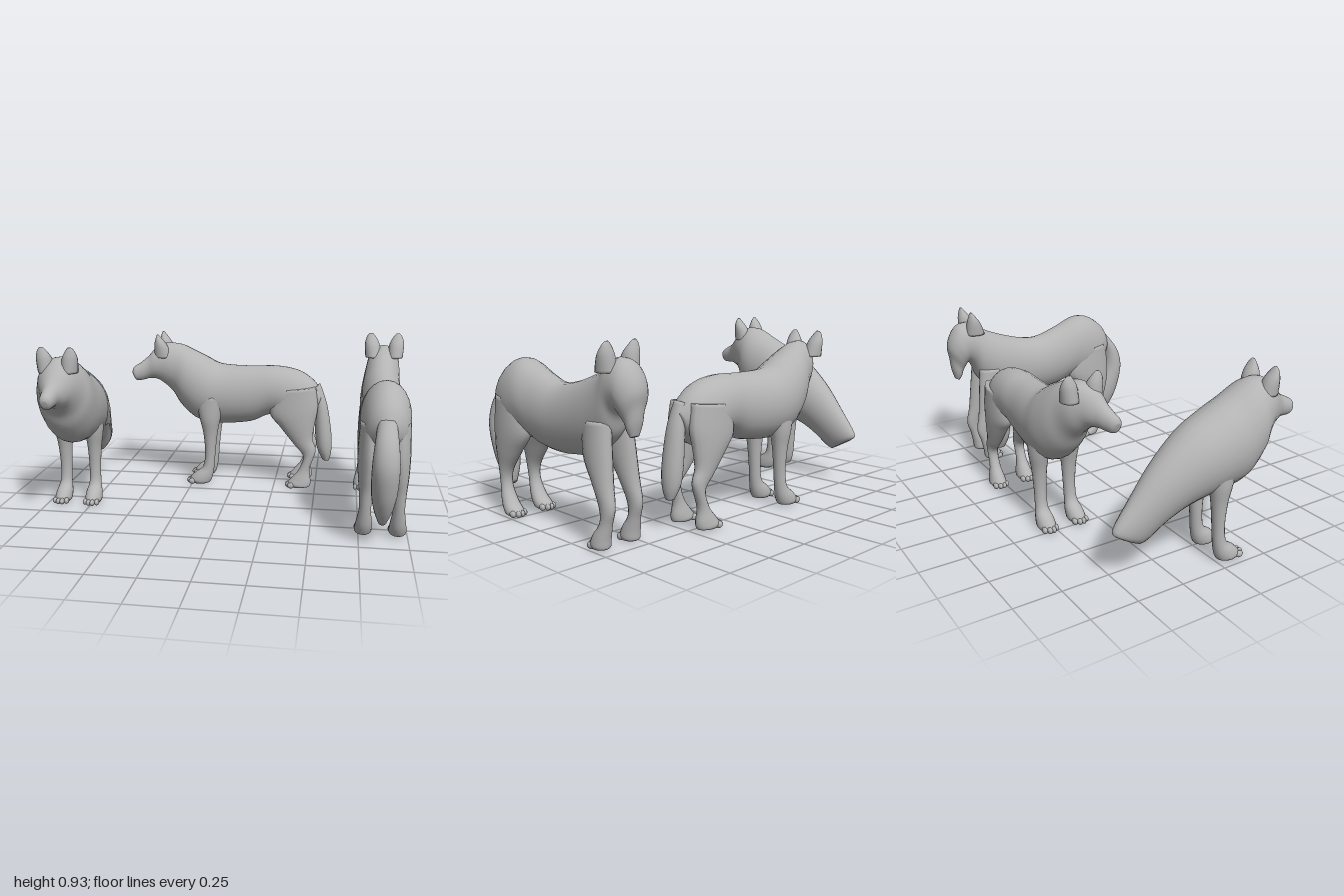
import * as THREE from 'three';

const fur = new THREE.MeshStandardMaterial({ color: 0xb4b4b4 });
fur.name = 'grey';

// Smooth closed skin through cross-sections.
// Section: [z1, y1, z2, y2, halfWidth, x]; the two points are opposite edges of the ring.
function loft(name, sections, { dx = 0, dz = 0, dy = 0, side = 1 } = {}, N = 24, steps = 5) {
  const S = sections.map(s => [s[0] + dz, s[1] + dy, s[2] + dz, s[3] + dy, s[4], side * (s[5] || 0) + dx]);
  const rows = [];
  for (let i = 0; i < S.length - 1; i++) {
    const p0 = S[Math.max(i - 1, 0)], p1 = S[i], p2 = S[i + 1], p3 = S[Math.min(i + 2, S.length - 1)];
    for (let k = 0; k < steps + (i === S.length - 2 ? 1 : 0); k++) {
      const t = k / steps;
      rows.push(p1.map((_, c) => 0.5 * (2 * p1[c] + (p2[c] - p0[c]) * t
        + (2 * p0[c] - 5 * p1[c] + 4 * p2[c] - p3[c]) * t * t
        + (3 * p1[c] - p0[c] - 3 * p2[c] + p3[c]) * t * t * t)));
    }
  }
  const pos = [], idx = [];
  for (const [z1, y1, z2, y2, w, x] of rows) {
    for (let i = 0; i < N; i++) {
      const a = i / N * Math.PI * 2, c = Math.cos(a) / 2;
      pos.push(x + w * Math.sin(a), (y1 + y2) / 2 + (y1 - y2) * c, (z1 + z2) / 2 + (z1 - z2) * c);
    }
  }
  for (let j = 0; j < rows.length - 1; j++) {
    for (let i = 0; i < N; i++) {
      const a = j * N + i, b = j * N + (i + 1) % N;
      idx.push(a, a + N, b, b, a + N, b + N);
    }
  }
  // End caps
  for (const j of [0, rows.length - 1]) {
    const r = rows[j], m = pos.length / 3;
    pos.push(r[5], (r[1] + r[3]) / 2, (r[0] + r[2]) / 2);
    for (let i = 0; i < N; i++) {
      const a = j * N + i, b = j * N + (i + 1) % N;
      if (j) idx.push(m, b, a); else idx.push(m, a, b);
    }
  }
  const g = new THREE.BufferGeometry();
  g.setAttribute('position', new THREE.Float32BufferAttribute(pos, 3));
  g.setIndex(idx);
  g.computeVertexNormals();
  const mesh = new THREE.Mesh(g, fur);
  mesh.name = name;
  return mesh;
}

// Mirrored pair of legs with toes; toe is the z of the paw tip, dir the way it points
function legs(name, sections, toe, dir, opt = {}) {
  const pair = new THREE.Group();
  pair.name = name + 's';
  for (const side of [-1, 1]) {
    pair.add(loft(name, sections, { ...opt, side }, 18));
    const x = side * sections[sections.length - 1][5];
    for (let i = 0; i < 4; i++) {
      const inner = i === 1 || i === 2;
      const t = new THREE.Mesh(new THREE.SphereGeometry(0.016, 10, 8), fur);
      t.name = 'toe';
      t.scale.set(0.85, 1.1, 1.4);
      t.position.set(x + (i - 1.5) * 0.022, 0.02, toe + (opt.dz || 0) - dir * (inner ? 0.018 : 0.032));
      pair.add(t);
    }
  }
  return pair;
}

// Pair of upright ears, shifted to suit each head
function ears(opt) {
  const pair = new THREE.Group();
  pair.name = 'ears';
  const sec = [
    [0.235, 0.80, 0.345, 0.80, 0.045, 0.062], [0.262, 0.87, 0.34, 0.875, 0.042, 0.07],
    [0.295, 0.915, 0.33, 0.915, 0.026, 0.076], [0.312, 0.936, 0.322, 0.936, 0.009, 0.077]];
  for (const side of [-1, 1]) pair.add(loft('ear', sec, { ...opt, side }, 16));
  return pair;
}

const frontLeg = [
  [0.23, 0.55, 0.04, 0.55, 0.05, 0.085], [0.205, 0.42, 0.075, 0.42, 0.052, 0.088],
  [0.182, 0.32, 0.095, 0.32, 0.04, 0.087], [0.172, 0.2, 0.108, 0.2, 0.033, 0.086],
  [0.185, 0.11, 0.115, 0.11, 0.034, 0.087], [0.235, 0.068, 0.125, 0.05, 0.045, 0.088],
  [0.265, 0.032, 0.14, 0.014, 0.047, 0.089], [0.255, 0.006, 0.155, 0.006, 0.038, 0.089]];

const hindLeg = [
  [-0.24, 0.6, -0.49, 0.62, 0.055, 0.07], [-0.22, 0.46, -0.505, 0.5, 0.06, 0.074],
  [-0.28, 0.38, -0.49, 0.4, 0.052, 0.08], [-0.37, 0.27, -0.48, 0.31, 0.038, 0.083],
  [-0.425, 0.2, -0.5, 0.235, 0.03, 0.084], [-0.405, 0.12, -0.467, 0.12, 0.03, 0.085],
  [-0.36, 0.062, -0.475, 0.045, 0.042, 0.086], [-0.335, 0.03, -0.47, 0.014, 0.046, 0.087],
  [-0.345, 0.008, -0.455, 0.008, 0.037, 0.087]];

// Half wolf: body tapers down into a tail and only front legs stand
function frontWolf() {
  const g = new THREE.Group();
  g.name = 'frontWolf';
  g.add(loft('body', [
    [-0.51, 0.25, -0.38, 0.18, 0.025], [-0.53, 0.29, -0.34, 0.2, 0.05], [-0.43, 0.42, -0.25, 0.265, 0.08],
    [-0.3, 0.57, -0.15, 0.315, 0.115], [-0.15, 0.695, -0.03, 0.345, 0.148], [0, 0.77, 0.06, 0.36, 0.163],
    [0.1, 0.815, 0.17, 0.385, 0.163], [0.18, 0.855, 0.26, 0.48, 0.155], [0.24, 0.875, 0.3, 0.56, 0.132],
    [0.31, 0.868, 0.34, 0.605, 0.105], [0.37, 0.815, 0.38, 0.625, 0.076], [0.42, 0.765, 0.42, 0.64, 0.05],
    [0.47, 0.737, 0.46, 0.64, 0.041], [0.505, 0.717, 0.49, 0.643, 0.033], [0.516, 0.692, 0.505, 0.66, 0.015]]));
  g.add(ears({}), legs('frontLeg', frontLeg, 0.285, 1, { dz: -0.13 }));
  return g;
}

// Whole wolf standing side-on, head turned a little
function middleWolf() {
  const g = new THREE.Group();
  g.name = 'middleWolf';
  g.add(loft('body', [
    [-0.53, 0.58, -0.5, 0.48, 0.05, 0.01], [-0.47, 0.655, -0.44, 0.41, 0.095], [-0.38, 0.71, -0.33, 0.4, 0.122],
    [-0.25, 0.732, -0.22, 0.435, 0.125], [-0.1, 0.728, -0.1, 0.387, 0.128], [0.08, 0.735, 0.08, 0.368, 0.142, -0.01],
    [0.17, 0.775, 0.22, 0.388, 0.15, -0.01], [0.26, 0.82, 0.32, 0.47, 0.135, -0.005], [0.33, 0.85, 0.38, 0.56, 0.108],
    [0.42, 0.857, 0.43, 0.61, 0.092, 0.015], [0.48, 0.825, 0.47, 0.64, 0.07, 0.04], [0.52, 0.78, 0.515, 0.645, 0.048, 0.06],
    [0.565, 0.742, 0.555, 0.637, 0.039, 0.078], [0.602, 0.718, 0.585, 0.637, 0.031, 0.09], [0.613, 0.692, 0.6, 0.655, 0.015, 0.093]]));
  g.add(loft('tail', [
    [-0.45, 0.6, -0.515, 0.63, 0.04], [-0.48, 0.5, -0.56, 0.5, 0.05], [-0.49, 0.35, -0.59, 0.32, 0.057],
    [-0.505, 0.24, -0.592, 0.22, 0.05], [-0.54, 0.165, -0.58, 0.16, 0.025]], { dx: 0.012 }));
  g.add(ears({ dz: 0.14, dy: -0.024, dx: -0.002 }));
  g.add(legs('frontLeg', frontLeg, 0.28, 1), legs('hindLeg', hindLeg, -0.325, 1));
  return g;
}

// Wolf seen from behind: high rump, lowered muzzle, forelegs with paws turned back
function rearWolf() {
  const g = new THREE.Group();
  g.name = 'rearWolf';
  g.add(loft('body', [
    [-0.5, 0.62, -0.44, 0.5, 0.05], [-0.45, 0.715, -0.4, 0.43, 0.1], [-0.36, 0.786, -0.3, 0.4, 0.126],
    [-0.26, 0.804, -0.18, 0.41, 0.13], [-0.12, 0.752, -0.1, 0.385, 0.12], [0.02, 0.712, 0.02, 0.372, 0.115],
    [0.15, 0.727, 0.15, 0.38, 0.115], [0.29, 0.772, 0.29, 0.405, 0.115], [0.38, 0.812, 0.42, 0.5, 0.105, -0.005],
    [0.45, 0.86, 0.46, 0.59, 0.096, -0.012], [0.53, 0.855, 0.482, 0.62, 0.092, -0.015], [0.578, 0.8, 0.492, 0.62, 0.088, -0.015],
    [0.602, 0.73, 0.505, 0.6, 0.072, -0.015], [0.595, 0.66, 0.52, 0.572, 0.05, -0.015],
    [0.588, 0.59, 0.53, 0.542, 0.039, -0.015], [0.572, 0.53, 0.545, 0.52, 0.022, -0.015]]));
  g.add(loft('tail', [
    [-0.42, 0.62, -0.49, 0.655, 0.045], [-0.47, 0.54, -0.57, 0.55, 0.058], [-0.475, 0.43, -0.602, 0.43, 0.067],
    [-0.43, 0.31, -0.575, 0.29, 0.064], [-0.415, 0.23, -0.53, 0.19, 0.05], [-0.43, 0.14, -0.475, 0.115, 0.022]]));
  g.add(ears({ dz: 0.157, dx: -0.015 }));
  g.add(legs('hindLeg', [
    [-0.2, 0.6, -0.44, 0.62, 0.055, 0.07], [-0.17, 0.45, -0.46, 0.46, 0.062, 0.07], [-0.25, 0.335, -0.445, 0.35, 0.05, 0.078],
    [-0.33, 0.23, -0.42, 0.26, 0.036, 0.082], [-0.34, 0.15, -0.405, 0.17, 0.031, 0.084], [-0.3, 0.075, -0.385, 0.07, 0.042, 0.086],
    [-0.245, 0.032, -0.36, 0.016, 0.046, 0.088], [-0.255, 0.008, -0.345, 0.008, 0.037, 0.088]], -0.235, 1));
  g.add(legs('frontLeg', [
    [0.44, 0.58, 0.27, 0.58, 0.05, 0.06], [0.455, 0.44, 0.28, 0.42, 0.05, 0.068], [0.47, 0.3, 0.345, 0.31, 0.042, 0.075],
    [0.488, 0.2, 0.398, 0.2, 0.031, 0.08], [0.468, 0.125, 0.405, 0.13, 0.03, 0.082], [0.455, 0.06, 0.365, 0.07, 0.042, 0.085],
    [0.45, 0.018, 0.348, 0.03, 0.046, 0.086], [0.44, 0.008, 0.36, 0.008, 0.037, 0.086]], 0.338, -1));
  return g;
}

export function createModel() {
  const pack = new THREE.Group();
  pack.name = 'wolfPack';
  const place = (wolf, x, z, turn) => {
    wolf.position.set(x, 0, z);
    wolf.rotation.y = turn;
    pack.add(wolf);
  };
  place(frontWolf(), -0.837, 0, 0);
  place(middleWolf(), 0, -0.45, -Math.PI / 2);
  place(rearWolf(), 0.862, 0, Math.PI);
  return pack;
}
